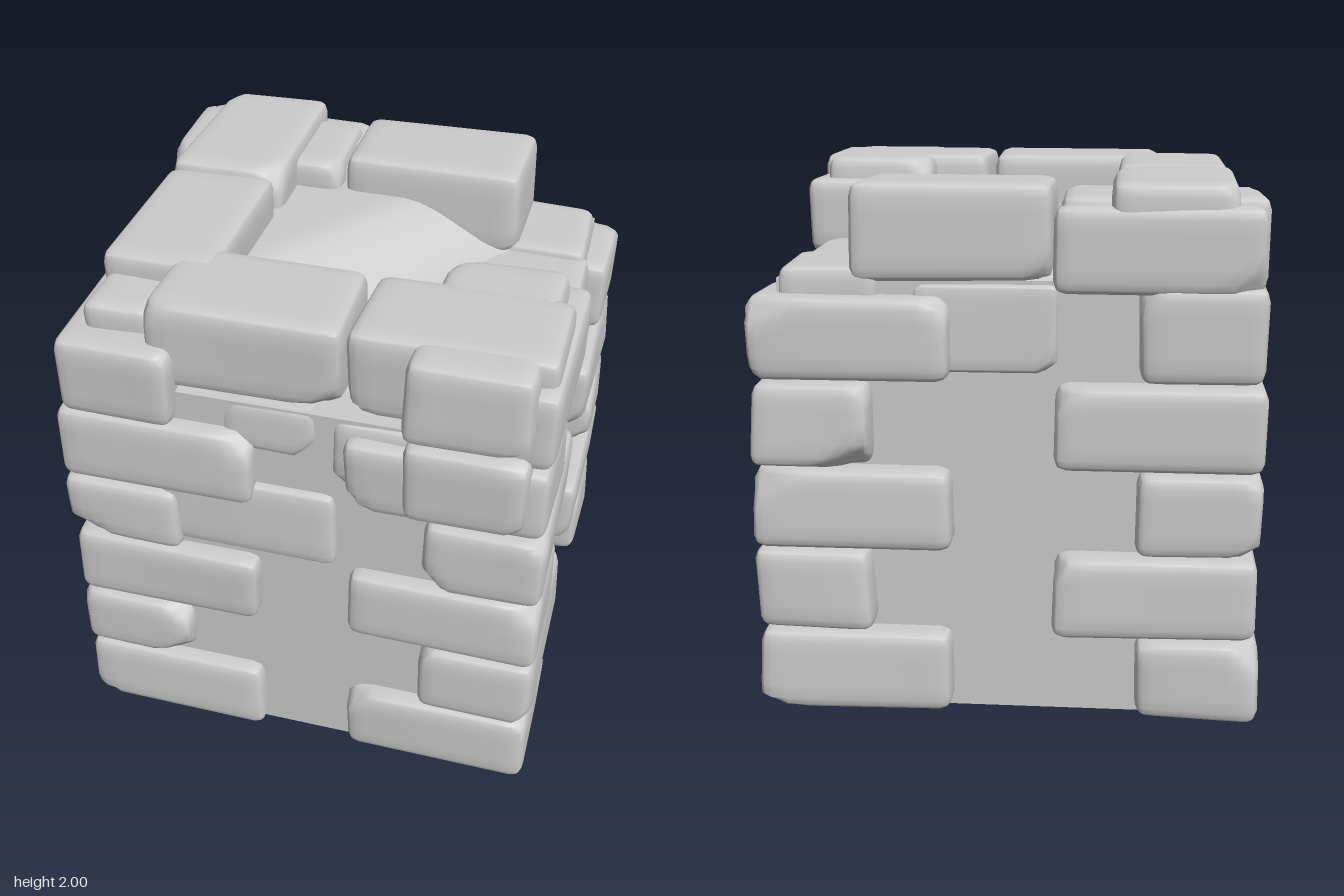
import * as THREE from 'three';
import { mergeVertices } from 'three/addons/utils/BufferGeometryUtils.js';

const material = new THREE.MeshStandardMaterial({ color: 0xcccccc });

let seed = 7;
function random() {
  seed = (seed * 16807) % 2147483647;
  return seed / 2147483647;
}

// A worn stone: rounded edges, slightly sunken corners and a few chipped ones
function stoneGeometry(size, round) {
  const geometry = new THREE.BoxGeometry(2, 2, 2, 12, 8, 12);
  geometry.deleteAttribute('uv');
  geometry.deleteAttribute('normal');
  const merged = mergeVertices(geometry);
  const half = size.clone().multiplyScalar(0.5);
  const radius = Math.min(round, half.x * 0.9, half.y * 0.9, half.z * 0.9);
  const inner = half.clone().subScalar(radius);
  const sink = Array.from({ length: 8 }, () => random() * 0.022);
  const chips = Array.from({ length: 3 }, () => {
    const sign = () => (random() < 0.5 ? -1 : 1);
    const normal = new THREE.Vector3(
      sign() * (0.5 + random()), sign() * (0.6 + random()), sign() * (0.5 + random())).normalize();
    const reach = Math.abs(normal.x) * half.x + Math.abs(normal.y) * half.y + Math.abs(normal.z) * half.z;
    return { normal, limit: reach - 0.05 - random() * 0.04 };
  });

  const p = new THREE.Vector3(), core = new THREE.Vector3();
  const position = merged.attributes.position;
  for (let i = 0; i < position.count; i++) {
    p.fromBufferAttribute(position, i);
    // Rows of vertices gather towards the edges
    p.set(...p.toArray().map((t) => Math.sin(t * Math.PI / 2))).multiply(half);
    core.copy(p).clamp(inner.clone().negate(), inner);
    p.sub(core).setLength(radius).add(core);
    // Blend the corner sinking over the whole stone
    const u = p.x / half.x, v = p.y / half.y, w = p.z / half.z;
    let s = 0;
    for (let c = 0; c < 8; c++) {
      const a = c & 1 ? 1 : -1, b = c & 2 ? 1 : -1, d = c & 4 ? 1 : -1;
      s += sink[c] * (1 + a * u) * (1 + b * v) * (1 + d * w) / 8;
    }
    p.x -= u * s;
    p.y -= v * s * 0.4;
    p.z -= w * s;
    for (const { normal, limit } of chips) {
      const over = p.dot(normal) - limit;
      if (over > 0) p.addScaledVector(normal, -over);
    }
    position.setXYZ(i, p.x, p.y, p.z);
  }
  merged.computeVertexNormals();
  return merged;
}

function addStone(parent, name, [x0, x1], [y0, y1], [z0, z1], round = 0.05) {
  const size = new THREE.Vector3(x1 - x0, y1 - y0, z1 - z0);
  const mesh = new THREE.Mesh(stoneGeometry(size, round), material);
  mesh.name = name;
  mesh.position.set((x0 + x1) / 2, (y0 + y1) / 2, (z0 + z1) / 2);
  parent.add(mesh);
}

// Solid core whose rubble top drops diagonally from a high to a low side
function makeCore() {
  const geometry = new THREE.BoxGeometry(1.65, 1, 1.65, 24, 1, 24);
  const position = geometry.attributes.position;
  for (let i = 0; i < position.count; i++) {
    const x = position.getX(i), z = position.getZ(i);
    const edge = Math.max(Math.abs(x), Math.abs(z));
    const inside = THREE.MathUtils.smoothstep(0.83 - edge, 0, 0.3);
    const heap = 0.2 * (1 - THREE.MathUtils.smoothstep(x * 0.8 + z * 0.6, -0.2, 0.22));
    position.setY(i, position.getY(i) < 0 ? 0 : 1.64 + inside * heap);
  }
  geometry.computeVertexNormals();
  const mesh = new THREE.Mesh(geometry, material);
  mesh.name = 'core';
  return mesh;
}

export function createModel() {
  seed = 7;
  const model = new THREE.Group();
  model.name = 'ruinedStoneTower';
  model.add(makeCore());

  // Corner stones: long and short faces swap on every course;
  // x and z hold the outer face, the long reach and the short reach
  const corners = [
    { name: 'frontLeft', sx: 1, sz: 1, x: [0.935, 0.18, 0.47], z: [0.91, 0.14, 0.43], longXCourse: 0, rows: [0.005, 0.325, 0.645, 0.96, 1.275, 1.59] },
    { name: 'frontRight', sx: -1, sz: 1, x: [0.925, 0.15, 0.45], z: [0.91, 0.15, 0.44], longXCourse: 0, rows: [0.005, 0.325, 0.61, 0.925, 1.205, 1.525] },
    { name: 'backLeft', sx: 1, sz: -1, x: [0.935, 0.18, 0.48], z: [0.95, 0.19, 0.49], longXCourse: 0, rows: [0.005, 0.325, 0.645, 0.955, 1.275, 1.59] },
    { name: 'backRight', sx: -1, sz: -1, x: [0.945, 0.17, 0.47], z: [0.95, 0.19, 0.48], longXCourse: 1, rows: [0.005, 0.32, 0.64, 0.96, 1.28, 1.64] },
  ];
  for (const { name, sx, sz, x, z, longXCourse, rows } of corners) {
    const group = new THREE.Group();
    group.name = name + 'CornerStones';
    for (let i = 0; i < 5; i++) {
      const alongX = i % 2 === longXCourse;
      const spanX = [sx * x[alongX ? 1 : 2], sx * x[0]].sort((a, b) => a - b);
      const spanZ = [sz * z[alongX ? 2 : 1], sz * z[0]].sort((a, b) => a - b);
      addStone(group, name + 'Stone' + (i + 1), spanX, [rows[i], rows[i + 1]], spanZ);
    }
    model.add(group);
  }

  // Loose upper courses
  const upper = new THREE.Group();
  upper.name = 'upperStones';
  model.add(upper);
  const stones = [
    ['frontLeftSixthStone', [0.44, 0.94], [1.58, 1.91], [0.14, 0.9]],
    ['frontLeftOverlapStone', [0.39, 0.86], [1.31, 1.65], [0.21, 0.96]],
    ['frontLeftTopStone', [0.39, 0.86], [1.66, 2], [0.19, 0.96]],
    ['frontLeftCapStone', [0.17, 0.91], [1.65, 2], [0.37, 0.83]],
    ['frontTopStone', [-0.57, 0.17], [1.65, 2], [0.37, 0.84]],
    ['frontRightSixthStone', [-0.91, -0.44], [1.5, 1.83], [0.15, 0.91]],
    ['frontRightRubble', [-0.82, -0.53], [1.6, 1.92], [0.4, 0.78]],
    ['rightTopStone', [-0.84, -0.38], [1.66, 2], [-0.19, 0.56]],
    ['rightMiddleStone', [-0.87, -0.42], [1.31, 1.66], [-0.3, 0.25]],
    ['backRightSixthStone', [-0.94, -0.18], [1.61, 1.95], [-0.87, -0.4]],
    ['backRightTopStone', [-0.84, -0.37], [1.66, 2], [-0.94, -0.19]],
    ['backRightRearStone', [-0.925, -0.16], [1.6, 1.92], [-0.955, -0.48]],
    ['backTopStone', [-0.19, 0.56], [1.63, 1.99], [-0.87, -0.41]],
    ['backLeftInnerStone', [0.45, 0.84], [1.35, 1.69], [-0.86, -0.42]],
    ['leftMiddleStone', [0.39, 0.87], [1.3, 1.66], [-0.52, 0.21]],
  ];
  for (const [name, x, y, z] of stones) addStone(upper, name, x, y, z);

  // Nearly flush stones showing in the bare walls
  const flush = new THREE.Group();
  flush.name = 'wallStones';
  model.add(flush);
  addStone(flush, 'frontWallStone', [-0.55, 0.15], [0.96, 1.29], [0.4, 0.87], 0.04);
  addStone(flush, 'frontRubbleStone', [-0.3, 0.09], [1.43, 1.65], [0.5, 0.85], 0.04);
  addStone(flush, 'frontInnerStone', [0.11, 0.6], [1.3, 1.64], [0.4, 0.86], 0.05);
  addStone(flush, 'leftWallStone', [0.4, 0.86], [0.98, 1.3], [-0.4, 0.15], 0.04);
  addStone(flush, 'backWallStone', [-0.2, 0.35], [1.3, 1.63], [-0.86, -0.5], 0.03);
  return model;
}
